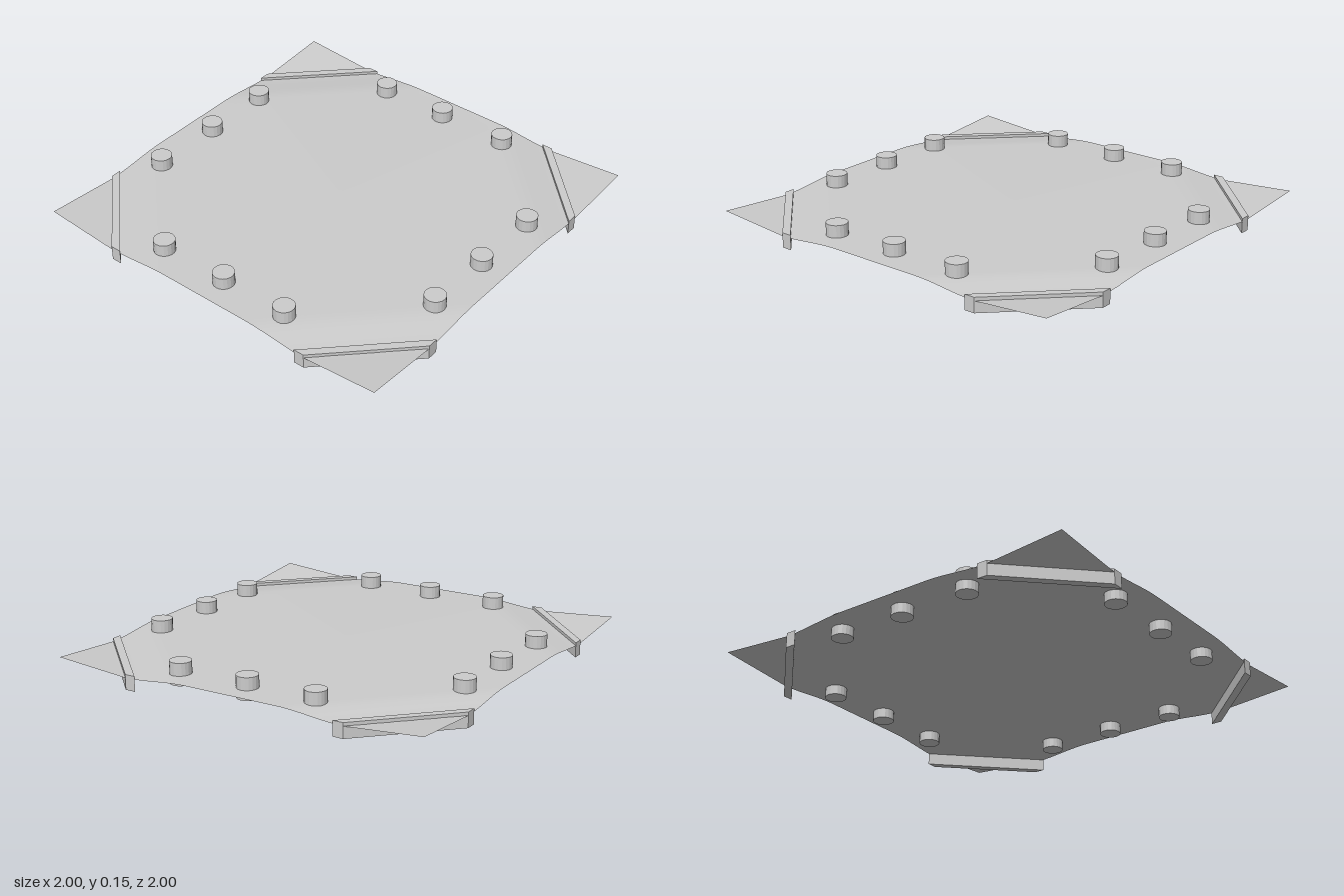
import * as THREE from 'three';

const material = new THREE.MeshStandardMaterial({ color: 0xcccccc });
const sheetMaterial = new THREE.MeshStandardMaterial({ color: 0xcccccc, side: THREE.DoubleSide });
const pegMaterial = new THREE.MeshStandardMaterial({ color: 0xcccccc, flatShading: true });

// Sheet height: almost flat, dipping towards the corner bars, rising again to the tips
function sheetHeight(x, z) {
  const s = Math.abs(x) + Math.abs(z);
  const crown = 0.005 * Math.max(0, 1 - Math.hypot(x, z));
  const dip = 0.025 * THREE.MathUtils.smoothstep(s, 1.25, 1.6);
  const tip = 0.032 * Math.max(0, (s - 1.6) / 0.4);
  return 0.084 + crown - dip + tip;
}

function makeSheet() {
  const geometry = new THREE.PlaneGeometry(2, 2, 80, 80).rotateX(-Math.PI / 2);
  const p = geometry.attributes.position;
  for (let i = 0; i < p.count; i++) p.setY(i, sheetHeight(p.getX(i), p.getZ(i)));
  geometry.computeVertexNormals();
  const sheet = new THREE.Mesh(geometry, sheetMaterial);
  sheet.name = 'sheet';
  return sheet;
}

// Diagonal bar across a corner, its ends trimmed flush with the square
function makeBarGeometry() {
  const shape = new THREE.Shape([
    new THREE.Vector2(1, 0.545), new THREE.Vector2(1, 0.6),
    new THREE.Vector2(0.6, 1), new THREE.Vector2(0.545, 1),
  ]);
  return new THREE.ExtrudeGeometry(shape, { depth: 0.076, bevelEnabled: false })
    .rotateX(-Math.PI / 2);
}

export function createModel() {
  const model = new THREE.Group();
  model.name = 'panel';
  model.add(makeSheet());

  const barGeometry = makeBarGeometry();
  const pegGeometry = new THREE.CylinderGeometry(0.054, 0.054, 0.112, 18);

  // One corner bar and one row of three pegs per side
  for (let k = 0; k < 4; k++) {
    const side = new THREE.Group();
    side.name = 'side' + (k + 1);
    side.rotation.y = k * Math.PI / 2;

    const bar = new THREE.Mesh(barGeometry, material);
    bar.name = 'cornerBar';
    side.add(bar);

    // Rows on opposite sides are mirrored through the centre
    const flip = k % 2 === 0 ? 1 : -1;
    for (const x of [-0.37, 0, 0.38]) {
      const peg = new THREE.Mesh(pegGeometry, pegMaterial);
      peg.name = 'peg';
      peg.position.set(x * flip, 0.091, 0.86);
      side.add(peg);
    }
    model.add(side);
  }
  return model;
}
